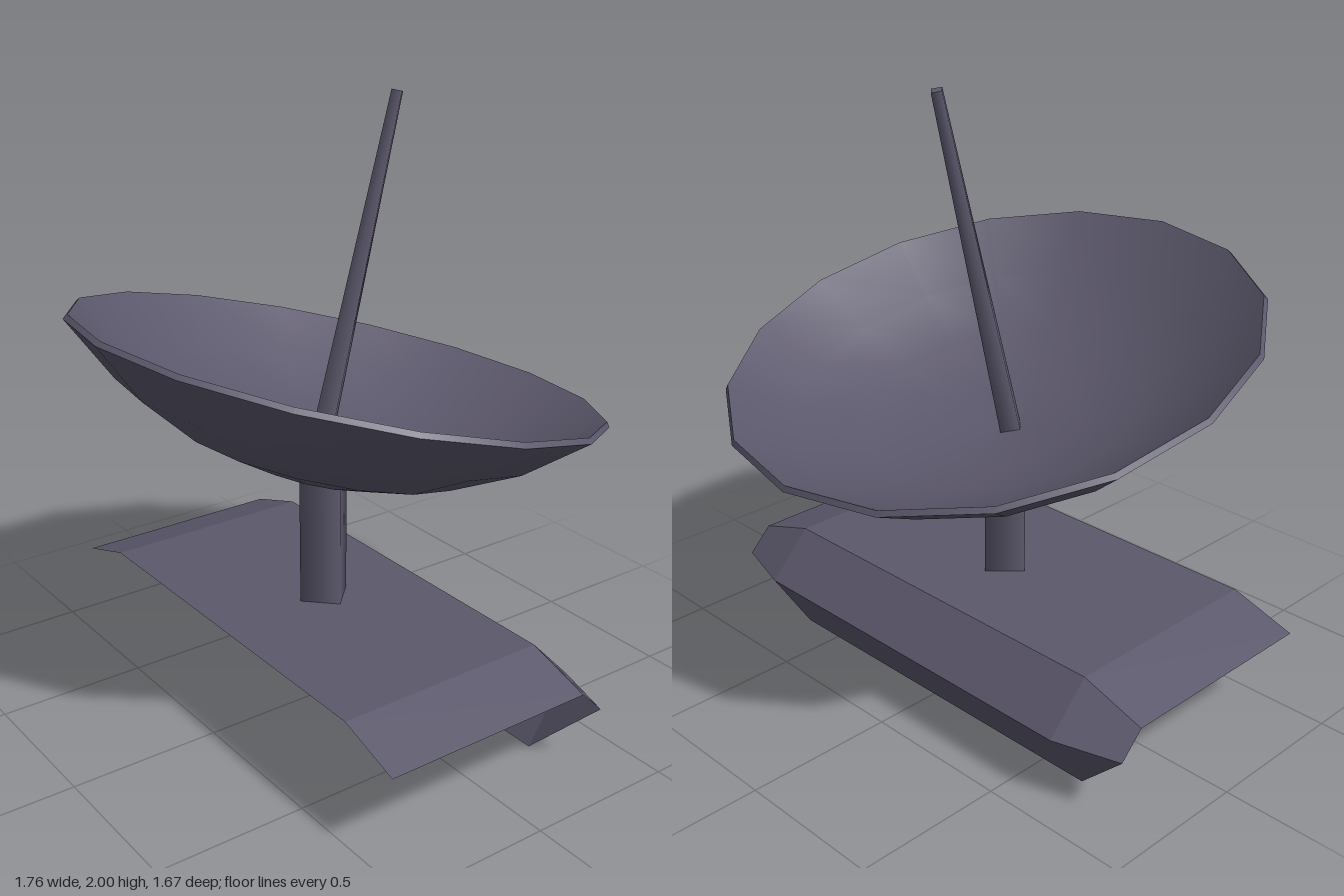
import * as THREE from 'three';

const TILT = -Math.PI / 12;

export function createModel() {
  const model = new THREE.Group();
  const material = new THREE.MeshStandardMaterial({ color: 0x5c586c, side: THREE.DoubleSide });
  const flatMaterial = material.clone();
  flatMaterial.flatShading = true;

  function add(parent, name, geometry, mat = material) {
    const mesh = new THREE.Mesh(geometry, mat);
    mesh.name = name;
    parent.add(mesh);
    return mesh;
  }

  // Folded sheet base: cross-sections [z, y] from front edge to lower back edge
  const middle = [[0.46, 0.37], [-0.27, 0.37], [-0.415, 0.22], [-0.27, 0]];
  const end = [[0.46, 0.3], [-0.27, 0.3], [-0.35, 0.22], [-0.35, 0.22]];
  const sections = [[-0.88, end], [-0.66, middle], [0.66, middle], [0.88, end]];
  const positions = [];
  const index = [];
  sections.forEach(([x, points], i) => {
    points.forEach(([z, y], j) => {
      positions.push(x, y, z);
      if (i < 3 && j < 3) {
        const a = i * 4 + j, b = a + 4, c = b + 1, d = a + 1;
        index.push(a, b, c, a, c, d);
      }
    });
  });
  const sheet = new THREE.BufferGeometry();
  sheet.setAttribute('position', new THREE.Float32BufferAttribute(positions, 3));
  sheet.setIndex(index);
  sheet.computeVertexNormals();
  add(model, 'base', sheet, flatMaterial);

  // Four-sided support post
  const post = add(model, 'post', new THREE.CylinderGeometry(0.093, 0.093, 0.44, 4));
  post.position.set(0, 0.59, 0.06);

  // Tilted dish assembly, origin at the rim centre
  const dish = new THREE.Group();
  dish.name = 'dish';
  dish.position.y = 1.167;
  dish.rotation.x = TILT;
  model.add(dish);

  // Spherical cap profile from the centre out to the rim
  function capProfile(radius, depth, top) {
    const R = (radius * radius + depth * depth) / (2 * depth);
    const sweep = Math.asin(radius / R);
    return [0, 1, 2, 3, 4].map((i) => {
      const a = (sweep * i) / 4;
      return new THREE.Vector2(R * Math.sin(a), top - depth + R * (1 - Math.cos(a)));
    });
  }
  const outer = capProfile(0.866, 0.366, -0.004);
  const inner = capProfile(0.855, 0.332, 0.012).reverse();
  add(dish, 'dishOuterShell', new THREE.LatheGeometry(outer, 16));
  add(dish, 'dishRim', new THREE.LatheGeometry([outer[4], inner[0]], 16));
  add(dish, 'dishInnerShell', new THREE.LatheGeometry(inner, 16));

  // Tapered four-sided antenna along the dish axis
  const bottom = -0.315, top = 0.856;
  const antenna = add(dish, 'antenna', new THREE.CylinderGeometry(0.023, 0.046, top - bottom, 4));
  antenna.position.y = (top + bottom) / 2;

  return model;
}
